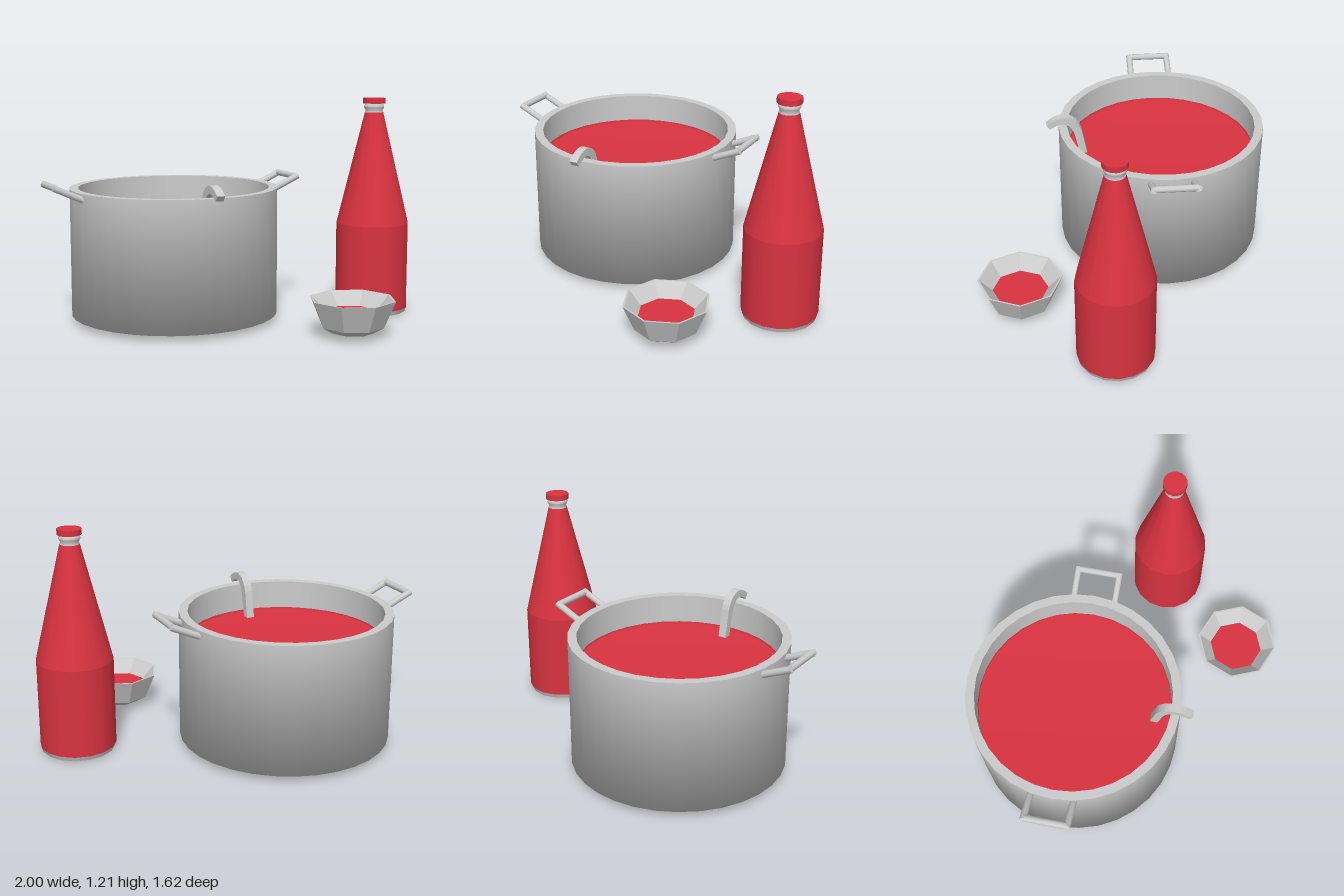
import * as THREE from 'three';

const grey = (opts = {}) => new THREE.MeshStandardMaterial({ color: 0xcccccc, ...opts });
const red = (opts = {}) => new THREE.MeshStandardMaterial({ color: 0xd93340, ...opts });

// Turned part from [radius, height] pairs
function turned(name, points, sides, material) {
  const profile = points.map(([r, y]) => new THREE.Vector2(r, y));
  const mesh = new THREE.Mesh(new THREE.LatheGeometry(profile, sides), material);
  mesh.name = name;
  return mesh;
}

// Round rod between two points
function rod(name, a, b, radius) {
  const start = new THREE.Vector3(...a), end = new THREE.Vector3(...b);
  const dir = end.clone().sub(start);
  const mesh = new THREE.Mesh(new THREE.CylinderGeometry(radius, radius, dir.length(), 10), grey());
  mesh.position.copy(start).add(end).multiplyScalar(0.5);
  mesh.quaternion.setFromUnitVectors(new THREE.Vector3(0, 1, 0), dir.normalize());
  mesh.name = name;
  return mesh;
}

function createPot() {
  const pot = new THREE.Group();
  pot.name = 'pot';
  // Base and outer wall share normals; rim and inner wall are crisp
  pot.add(turned('potWall', [[0, 0.03], [0.572, 0.03], [0.572, 0.73]], 32, grey()));
  pot.add(turned('potRim', [[0.572, 0.73], [0.525, 0.73]], 32, grey()));
  pot.add(turned('potInside', [[0.525, 0.73], [0.525, 0.55]], 32, grey()));
  pot.add(turned('soup', [[0.525, 0.575], [0.523, 0.56], [0, 0.56]], 32, red()));

  // Slanted loop handle on each side
  for (const side of [1, -1]) {
    const handle = new THREE.Group();
    handle.name = side > 0 ? 'leftHandle' : 'rightHandle';
    for (const z of [-0.113, 0.113]) {
      handle.add(rod('handleArm', [side * 0.555, 0.698, z], [side * 0.712, 0.768, z], 0.018));
    }
    handle.add(rod('handleBar', [side * 0.7, 0.765, -0.113], [side * 0.7, 0.765, 0.113], 0.018));
    pot.add(handle);
  }
  pot.position.set(-0.28, 0, -0.24);
  return pot;
}

// Bent strip hooked over the pot's front rim, reaching into the soup
function createLadle() {
  const s = new THREE.Shape();
  s.moveTo(0.40, 0.75);
  s.quadraticCurveTo(0.35, 0.795, 0.30, 0.795);
  s.quadraticCurveTo(0.23, 0.79, 0.205, 0.71);
  s.lineTo(0.17, 0.53);
  s.lineTo(0.21, 0.53);
  s.lineTo(0.245, 0.69);
  s.quadraticCurveTo(0.265, 0.75, 0.305, 0.753);
  s.quadraticCurveTo(0.35, 0.75, 0.38, 0.722);
  s.closePath();
  const geo = new THREE.ExtrudeGeometry(s, { depth: 0.044, bevelEnabled: false, curveSegments: 5 });
  geo.rotateY(-Math.PI / 2);
  geo.translate(-0.258, 0, 0);
  const ladle = new THREE.Mesh(geo, grey());
  ladle.name = 'ladleHandle';
  return ladle;
}

function createBottle() {
  const bottle = new THREE.Group();
  bottle.name = 'bottle';
  const sides = 16;
  bottle.add(turned('bottleUnderside', [[0, 0], [0.195, 0.004]], sides, grey()));
  bottle.add(turned('bottleBase', [[0.195, 0.004], [0.204, 0.028]], sides, grey()));
  bottle.add(turned('bottleBody', [[0.204, 0.028], [0.204, 0.508]], sides, red()));
  bottle.add(turned('bottleShoulder', [[0.204, 0.508], [0.052, 1.13]], sides, red()));
  bottle.add(turned('bottleNeck',
    [[0.052, 1.13], [0.047, 1.142], [0.056, 1.157], [0.056, 1.167], [0.047, 1.182]], sides, grey()));
  const cap = new THREE.Mesh(new THREE.CylinderGeometry(0.064, 0.064, 0.03, sides), red());
  cap.position.y = 1.195;
  cap.name = 'bottleCap';
  bottle.add(cap);
  bottle.position.set(0.793, 0, 0.1);
  return bottle;
}

// Eight-sided bowl with a filled centre
function createBowl() {
  const bowl = new THREE.Group();
  bowl.name = 'bowl';
  bowl.add(turned('bowlShell',
    [[0, 0.03], [0.12, 0.03], [0.168, 0.06], [0.228, 0.202], [0.218, 0.202], [0.15, 0.13]],
    8, grey({ flatShading: true })));
  bowl.add(turned('bowlSauce', [[0.15, 0.13], [0, 0.13]], 8, red({ flatShading: true })));
  bowl.position.set(0.382, 0, 0.58);
  return bowl;
}

export function createModel() {
  const model = new THREE.Group();
  model.name = 'cookingSet';
  model.add(createPot(), createLadle(), createBottle(), createBowl());
  return model;
}
